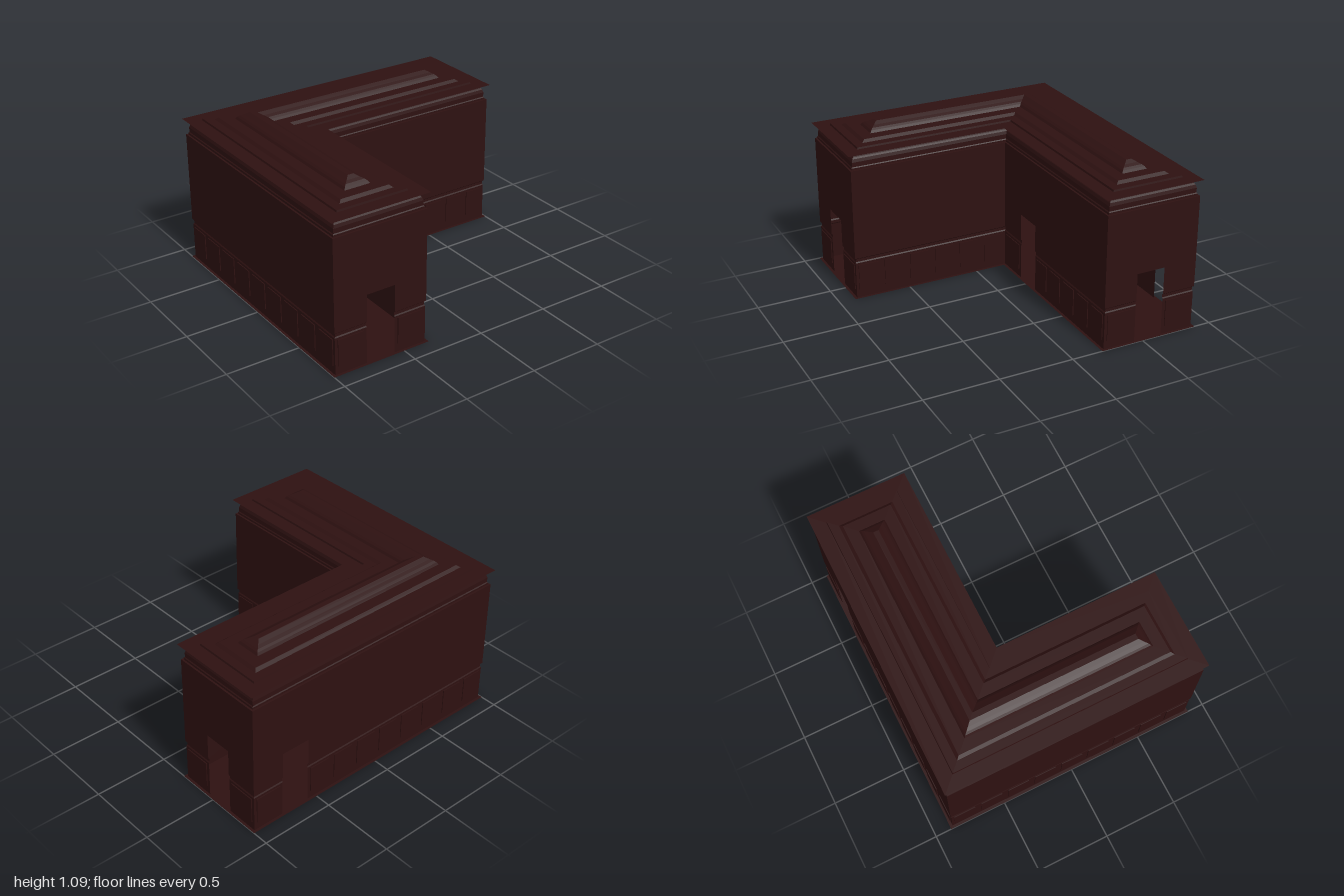
import * as THREE from 'three';

// Corners of the L-shaped plan, drawn in by an inset d
const corners = d => [
  [-1 + d, -0.89 + d], [1 - d, -0.89 + d], [1 - d, -0.21 - d],
  [-0.318 - d, -0.21 - d], [-0.318 - d, 0.89 - d], [-1 + d, 0.89 - d],
];

// Doorways: wall index -> world range along that wall
const DOOR_TOP = 0.47;
const doors = {
  0: [0.56, 0.76],     // back wall
  1: [-0.645, -0.45],  // end of the side wing
  3: null,
  2: [-0.1, 0.1],      // inner wall
  4: [-0.76, -0.56],   // end of the front wing
};

const material = new THREE.MeshStandardMaterial({
  color: 0x2e1111, flatShading: true, side: THREE.DoubleSide,
});

// Stretches of a wall between corners a and b, leaving out the doorway;
// each end is a function of the corner pair so that corners stay mitred
function stretches(wall, cut) {
  const start = (a, b) => a, end = (a, b) => b;
  if (!cut || !doors[wall]) return [[start, end]];
  const axis = wall % 2; // 0 runs along x, 1 along z
  const at = v => a => (axis === 0 ? [v, a[1]] : [a[0], v]);
  const axisOf = doors[wall];
  const forward = corners(0)[(wall + 1) % 6][axis] > corners(0)[wall][axis];
  const [p, q] = forward ? axisOf : [axisOf[1], axisOf[0]];
  return [[start, at(p)], [at(q), end]];
}

// End walls of the wings: wall 4 runs along x, wall 1 along z, walls 0 and 2 along x
// Sweep a profile of [inset, y] points round the plan
function sweep(name, profile, cutDoors = false) {
  const pos = [];
  for (let i = 0; i < profile.length - 1; i++) {
    const [d0, y0] = profile[i], [d1, y1] = profile[i + 1];
    const lower = corners(d0), upper = corners(d1);
    const cut = cutDoors && y1 <= DOOR_TOP + 1e-6;
    for (let w = 0; w < 6; w++) {
      const n = (w + 1) % 6;
      for (const [s, e] of stretches(w, cut)) {
        const a = s(lower[w], lower[n]), b = e(lower[w], lower[n]);
        const c = e(upper[w], upper[n]), d = s(upper[w], upper[n]);
        const A = [a[0], y0, a[1]], B = [b[0], y0, b[1]];
        const C = [c[0], y1, c[1]], D = [d[0], y1, d[1]];
        pos.push(...A, ...C, ...B, ...A, ...D, ...C);
      }
    }
  }
  const geo = new THREE.BufferGeometry();
  geo.setAttribute('position', new THREE.Float32BufferAttribute(pos, 3));
  geo.computeVertexNormals();
  const mesh = new THREE.Mesh(geo, material);
  mesh.name = name;
  return mesh;
}

// Flat L-shaped sheet at height y
function sheet(name, inset, y, up) {
  const shape = new THREE.Shape(corners(inset).map(([x, z]) => new THREE.Vector2(x, up ? -z : z)));
  const geo = new THREE.ShapeGeometry(shape);
  geo.rotateX(up ? -Math.PI / 2 : Math.PI / 2);
  const mesh = new THREE.Mesh(geo, material);
  mesh.position.y = y;
  mesh.name = name;
  return mesh;
}

// Row of shallow panels along the foot of every wall
function wainscotPanels() {
  const group = new THREE.Group();
  group.name = 'wainscotPanels';
  const c = corners(0.015);
  for (let w = 0; w < 6; w++) {
    for (const [s, e] of stretches(w, true)) {
      const a = s(c[w], c[(w + 1) % 6]), b = e(c[w], c[(w + 1) % 6]);
      const dx = b[0] - a[0], dz = b[1] - a[1];
      const length = Math.hypot(dx, dz);
      const count = Math.max(1, Math.round(length / 0.19));
      const geo = new THREE.BoxGeometry(length / count - 0.045, 0.18, 0.006);
      for (let i = 0; i < count; i++) {
        const t = (i + 0.5) / count;
        const panel = new THREE.Mesh(geo, material);
        panel.position.set(a[0] + dx * t, 0.145, a[1] + dz * t);
        panel.rotation.y = Math.atan2(-dz, dx);
        panel.name = 'panel';
        group.add(panel);
      }
    }
  }
  return group;
}

export function createModel() {
  const model = new THREE.Group();
  model.name = 'corridor';
  model.add(
    sheet('floor', 0, 0, true),
    // Skirting, rail groove and plain wall, open at the doorways
    sweep('walls', [
      [0.018, 0], [0.018, 0.25], [0.023, 0.258], [0.023, 0.278], [0.014, 0.286],
      [0.014, DOOR_TOP], [0.014, 0.905],
    ], true),
    wainscotPanels(),
    // Crown moulding leaning in under the ceiling
    sweep('crownMoulding', [
      [0.014, 0.905], [0.026, 0.905], [0.026, 0.918], [0.031, 0.924],
      [0.031, 0.955], [0.037, 0.975], [0.045, 0.985], [0.055, 1.012],
    ]),
    // Ceiling plate, two steps and the central cove
    sweep('steppedCeiling', [
      [0, 1.012], [0.095, 1.012], [0.098, 1.024], [0.155, 1.024], [0.175, 1.04],
      [0.252, 1.04], [0.262, 1.055], [0.275, 1.066], [0.295, 1.077], [0.322, 1.094],
    ]),
    sheet('ceilingCap', 0.322, 1.094, true),
  );
  return model;
}
